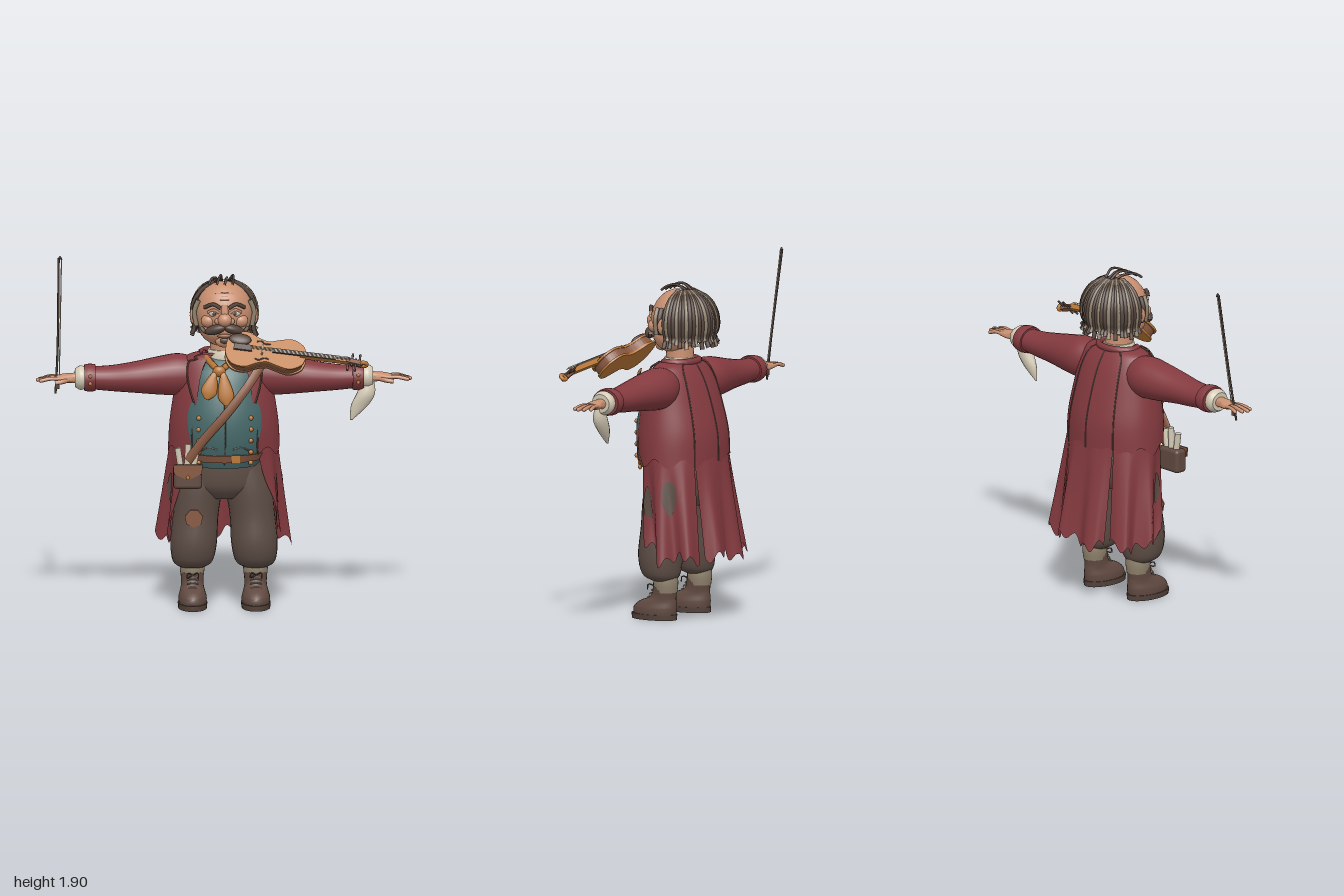
import * as THREE from 'three';
import { toCreasedNormals } from 'three/addons/utils/BufferGeometryUtils.js';
import { RoundedBoxGeometry } from 'three/addons/geometries/RoundedBoxGeometry.js';

const M = {};
for (const [name, color, twoSided] of [
  ['skin', 0xc88f70], ['coat', 0x843a3f, 1], ['trousers', 0x5c4c44, 1], ['waistcoat', 0x46696a, 1],
  ['amber', 0xb87636, 1], ['cream', 0xd3c9b4, 1], ['hair', 0x54433b], ['leather', 0x875740, 1],
  ['boot', 0x604940], ['taupe', 0x8f816c],
]) {
  M[name] = new THREE.MeshStandardMaterial({ color });
  M[name].name = name;
  if (twoSided) M[name].side = THREE.DoubleSide;
}
const PI = Math.PI, sin = Math.sin, cos = Math.cos;

// surface from a rule fn(u, v) -> [x, y, z]; optional caps close both ends
function grid(fn, nu, nv, cap = false) {
  const pos = [], idx = [], rows = [];
  for (let j = 0; j <= nv; j++) rows.push(Array.from({ length: nu + 1 }, (_, i) => fn(i / nu, j / nv)));
  const flat = (row) => {
    const c = [0, 1, 2].map((k) => row.slice(1).reduce((s, p) => s + p[k], 0) / nu);
    return row.map(() => c);
  };
  if (cap) { rows.unshift(flat(rows[0])); rows.push(flat(rows[rows.length - 1])); }
  rows.forEach((r) => r.forEach((p) => pos.push(...p)));
  const w = nu + 1;
  for (let j = 0; j < rows.length - 1; j++) for (let i = 0; i < nu; i++) {
    const a = j * w + i;
    idx.push(a, a + 1, a + w + 1, a, a + w + 1, a + w);
  }
  const g = new THREE.BufferGeometry();
  g.setAttribute('position', new THREE.Float32BufferAttribute(pos, 3));
  g.setIndex(idx);
  return toCreasedNormals(g, 0.9);
}
// rings [y, centreX, radiusX, zFront, zBack], bottom to top, smoothly blended
function section(rings) {
  return (th, v) => {
    const f = v * (rings.length - 1), i = Math.min(Math.floor(f), rings.length - 2), t = f - i;
    const at = (k) => rings[Math.max(0, Math.min(rings.length - 1, k))];
    const [y, cx, rx, zf, zb] = rings[0].map((_, c) => {
      const [a, b, d, e] = [at(i - 1)[c], at(i)[c], at(i + 1)[c], at(i + 2)[c]];
      return b + 0.5 * t * (d - a + t * (2 * a - 5 * b + 4 * d - e + t * (3 * (b - d) + e - a)));
    });
    return [cx + rx * sin(th), y, (zf + zb) / 2 + (zf - zb) / 2 * cos(th)];
  };
}
const loft = (rings, n = 24) => {
  const s = section(rings);
  return grid((u, v) => s(u * 2 * PI, v), n, (rings.length - 1) * 4, true);
};

export function createModel() {
  const root = new THREE.Group();
  root.name = 'fiddler';
  const add = (name, geo, mat, p = [0, 0, 0], r = [0, 0, 0], parent = root) => {
    const m = new THREE.Mesh(geo, M[mat]);
    m.name = name; m.position.set(...p); m.rotation.set(...r); parent.add(m);
    return m;
  };
  const ball = (name, mat, p, s, r, parent) => add(name, new THREE.SphereGeometry(1, 20, 14).scale(...s), mat, p, r, parent);
  const box = (name, mat, p, s, r, parent) => add(name, new THREE.BoxGeometry(...s), mat, p, r, parent);
  const tube = (name, mat, pts, rad, parent, n = 14) => add(name, new THREE.TubeGeometry(
    new THREE.CatmullRomCurve3(pts.map((q) => new THREE.Vector3(...q))), n, rad, 6), mat, undefined, undefined, parent);

  // waistcoat
  add('waistcoat', loft([[0.78, 0, 0.19, 0.18, -0.15], [0.85, 0, 0.215, 0.205, -0.15], [0.95, 0, 0.235, 0.225, -0.15],
    [1.07, 0, 0.235, 0.22, -0.15], [1.2, 0, 0.21, 0.185, -0.13], [1.3, 0, 0.19, 0.14, -0.1], [1.375, 0, 0.11, 0.07, -0.07]], 32), 'waistcoat');
  tube('waistcoatSeam', 'trousers', [[0, 0.8, 0.19], [0, 0.95, 0.226], [0, 1.07, 0.221], [0, 1.2, 0.186]], 0.004);
  for (const s of [-1, 1]) {
    tube('pocketEdge', 'trousers', [[s * 0.04, 0.89, 0.212], [s * 0.085, 0.9, 0.2], [s * 0.13, 0.88, 0.178]], 0.005);
    for (let i = 0; i < 5; i++) ball('button', 'amber', [s * 0.14, 0.81 + i * 0.062, 0.165 + (i > 0) * 0.022], [0.013, 0.013, 0.01]);
  }

  // coat body, open at the front
  const coatRing = section([[0.86, 0, 0.3, 0.19, -0.245], [1.0, 0, 0.293, 0.2, -0.24], [1.15, 0, 0.272, 0.18, -0.205],
    [1.28, 0, 0.25, 0.14, -0.16], [1.36, 0, 0.21, 0.105, -0.115], [1.39, 0, 0.12, 0.075, -0.085]]);
  const open = (v) => 0.63 - 0.22 * v * v;
  const coat = (th, v, off = 0) => {
    const [x, y, z] = coatRing(th, v);
    return [x + off * sin(th), y + 0.025 * sin(th * 9) * (1 - v) ** 6, z + off * cos(th)];
  };
  add('coatBody', grid((u, v) => coat(open(v) + u * 2 * (PI - open(v)), v), 64, 24), 'coat');
  for (const th of [PI - 0.62, PI, PI + 0.62])
    tube('backSeam', 'boot', [0, 0.2, 0.4, 0.6, 0.8, 0.95].map((v) => coat(th, v, 0)), 0.004);
  tube('coatCollar', 'coat', [1, 1.6, 2.3, PI, 4, 4.7, 5.28].map((a) => [0.12 * sin(a), 1.385, -0.005 + 0.085 * cos(a)]), 0.02);

  // coat skirt: three ragged, pleated panels
  const skirt = (th, t, off = 0) => {
    const f = Math.min(th, 2 * PI - th);
    const hem = 0.35 + 0.12 * Math.max(0, 1.5 - f) + 0.022 * sin(th * 23) + 0.02 * sin(th * 7);
    const k = 1 - 0.1 * t * cos(10 * (th - PI));
    const zr = 0.203 + 0.02 * t, zc = -0.033 - 0.062 * t;
    return [((0.285 + 0.05 * t) * k + off) * sin(th), 0.92 - t * (0.92 - hem), zc + (zr * k + off) * cos(th)];
  };
  const gap = (t) => 0.06 * t;
  const panel = (name, a, b) => add(name, grid((u, v) => {
    const t = 1 - v, p = a(t), q = b(t);
    return skirt(p + u * (q - p), t);
  }, 48, 16), 'coat');
  panel('leftSkirtPanel', (t) => 0.62 + 0.4 * t, (t) => 2.5 - gap(t));
  panel('backSkirtPanel', (t) => 2.5 + gap(t), (t) => 2 * PI - 2.5 - gap(t));
  panel('rightSkirtPanel', (t) => 2 * PI - 2.5 + gap(t), (t) => 2 * PI - 0.62 - 0.4 * t);
  // worn cloth patches following the skirt
  for (const [th, t, w, h] of [[1.85, 0.42, 0.18, 0.16], [1.15, 0.55, 0.13, 0.17], [5.05, 0.5, 0.14, 0.15]])
    add('skirtPatch', grid((u, v) => skirt(th + w * v * sin(u * 2 * PI), t - h * v * cos(u * 2 * PI), 0.007), 14, 4), 'trousers');

  for (const s of [-1, 1]) {
    // lapel with dark piping
    const side = (a) => (s > 0 ? a : 2 * PI - a);
    const width = (w) => 0.06 + 0.42 * Math.sin(Math.min(1, w * 1.25) * PI / 2) - (w > 0.72 && w < 0.8 ? 0.2 : 0);
    const lapel = (k, w) => { const v = 0.38 + 0.56 * w; return coat(side(open(v) - 0.05 + k * width(w)), v, 0.014); };
    add('lapel', grid((u, w) => lapel(u, w), 8, 24), 'coat');
    tube('lapelPiping', 'boot', [0, 0.15, 0.3, 0.5, 0.68, 0.76, 0.84, 1].map((w) => lapel(1, w)), 0.005, root, 30);
    tube('coatEdge', 'boot', [0.02, 0.2, 0.4, 0.6, 0.8].map((v) => coat(side(open(v)), v, 0.003)), 0.005);

    // sleeve, cuff and shirt frill, lofted along the arm
    const arm = (name, mat, rings) => add(name, loft(rings.map(([l, y, ry, z, rz]) => [l, -s * (y - 1.25), ry, z + rz, z - rz]))
      .rotateZ(-s * PI / 2), mat, [0, 1.25, 0]);
    if (s) arm('sleeve', 'coat', [[0.17, 1.262, 0.1, -0.01, 0.1], [0.25, 1.262, 0.113, -0.015, 0.115], [0.35, 1.257, 0.103, -0.01, 0.11],
      [0.48, 1.25, 0.084, 0, 0.095], [0.6, 1.245, 0.07, 0, 0.08], [0.7, 1.247, 0.062, 0, 0.072]]);
    arm('cuff', 'coat', [[0.69, 1.248, 0.071, 0, 0.082], [0.72, 1.248, 0.075, 0, 0.086], [0.75, 1.248, 0.07, 0, 0.081]]);
    arm('shirtFrill', 'cream', [[0.74, 1.248, 0.055, 0, 0.06], [0.77, 1.248, 0.066, 0, 0.068], [0.8, 1.248, 0.05, 0, 0.055]]);
    arm('hand', 'skin', [[0.78, 1.247, 0.03, 0, 0.035], [0.82, 1.247, 0.026, 0, 0.035], [0.86, 1.246, 0.024, 0, 0.044], [0.9, 1.245, 0.016, 0, 0.042]]);
    for (const z of [0.02, -0.02]) ball('cuffButton', 'amber', [s * 0.72, 1.25 + z, 0.085], [0.01, 0.01, 0.006]);
    for (let i = 0; i < 4; i++) {
      const z = 0.033 - i * 0.022, end = [0.985, 1, 0.99, 0.965][i];
      tube('finger', 'skin', [[s * 0.88, 1.247, z], [s * 0.93, 1.25, z * 1.2], [s * end, 1.24, z * 1.35]], 0.0105);
      ball('fingertip', 'skin', [s * end, 1.24, z * 1.35], [0.0105, 0.0105, 0.0105]);
    }
    tube('thumb', 'skin', [[s * 0.83, 1.24, 0.02], [s * 0.87, 1.235, 0.052], [s * 0.91, 1.23, 0.058]], 0.013);

    // trouser leg, stocking and boot
    add('trouserLeg', loft([[0.215, s * 0.17, 0.07, 0.06, -0.07], [0.25, s * 0.168, 0.108, 0.115, -0.09], [0.35, s * 0.163, 0.125, 0.14, -0.1],
      [0.5, s * 0.152, 0.122, 0.13, -0.105], [0.65, s * 0.132, 0.125, 0.13, -0.115], [0.78, s * 0.105, 0.105, 0.12, -0.11]]), 'trousers');
    add('stocking', loft([[0.15, s * 0.17, 0.06, 0.045, -0.08], [0.2, s * 0.17, 0.066, 0.05, -0.085], [0.25, s * 0.17, 0.062, 0.045, -0.08]]), 'taupe');
    const b = s * 0.17;
    add('boot', loft([[0.025, b, 0.075, 0.18, -0.075], [0.06, b, 0.076, 0.178, -0.08], [0.095, b, 0.066, 0.14, -0.078],
      [0.125, b, 0.06, 0.07, -0.075], [0.185, b, 0.063, 0.052, -0.082]]), 'boot');
    add('sole', loft([[0, b, 0.077, 0.19, -0.08], [0.03, b, 0.08, 0.192, -0.082]]), 'hair');
    for (let i = 0; i < 4; i++) tube('lace', 'taupe', [[b - 0.03, 0.11 + i * 0.02, 0.082 - i * 0.013],
      [b, 0.117 + i * 0.02, 0.09 - i * 0.012], [b + 0.03, 0.11 + i * 0.02, 0.082 - i * 0.013]], 0.004);
    tube('laceLoop', 'hair', [[b, 0.175, 0.055], [b - 0.025, 0.19, 0.075], [b - 0.03, 0.165, 0.08], [b, 0.175, 0.055],
      [b + 0.03, 0.19, 0.075], [b + 0.03, 0.16, 0.08]], 0.004);
  }
  add('trouserSeat', loft([[0.6, 0, 0.13, 0.1, -0.1], [0.66, 0, 0.215, 0.14, -0.125], [0.74, 0, 0.22, 0.15, -0.13], [0.83, 0, 0.2, 0.15, -0.13]]), 'trousers');
  add('kneePatch', new THREE.CylinderGeometry(0.05, 0.05, 0.008, 7), 'leather', [-0.165, 0.5, 0.133], [PI / 2, 0, 0]);

  // belt, shoulder strap and satchel
  add('belt', loft([[0.815, 0, 0.21, 0.205, -0.15], [0.855, 0, 0.225, 0.217, -0.15]]), 'leather');
  box('buckle', 'amber', [0.06, 0.836, 0.208], [0.05, 0.045, 0.012]);
  const strap = new THREE.CatmullRomCurve3([[0.2, 1.34, 0.13], [0.12, 1.23, 0.2], [0, 1.08, 0.235], [-0.12, 0.94, 0.225], [-0.2, 0.83, 0.215]]
    .map((p) => new THREE.Vector3(...p)));
  add('shoulderStrap', grid((u, v) => {
    const p = strap.getPoint(v), a = u * 2 * PI;
    return [p.x + 0.018 * cos(a), p.y - 0.016 * cos(a), p.z - 0.009 * sin(a)];
  }, 10, 24, true), 'leather');
  add('satchel', new RoundedBoxGeometry(0.155, 0.13, 0.075, 3, 0.02), 'boot', [-0.2, 0.745, 0.205]);
  const flap = new THREE.Shape([[-0.08, 0.04], [0.08, 0.04], [0.075, -0.01], [0, -0.045], [-0.075, -0.01]].map((p) => new THREE.Vector2(...p)));
  add('satchelFlap', new THREE.ExtrudeGeometry(flap, { depth: 0.008, bevelEnabled: false }), 'leather', [-0.2, 0.775, 0.24]);
  ball('satchelStud', 'amber', [-0.2, 0.745, 0.25], [0.01, 0.01, 0.006]);
  [[-0.245, 0.84, 0.15], [-0.2, 0.86, -0.05], [-0.16, 0.845, -0.2]].forEach(([x, y, r]) =>
    add('paperRoll', new THREE.CylinderGeometry(0.017, 0.017, 0.12, 10), 'cream', [x, y, 0.2], [0, 0, r]));

  // neck, shirt collar and neckerchief
  add('neck', new THREE.CylinderGeometry(0.072, 0.078, 0.16, 24), 'skin', [0, 1.42, 0]);
  add('shirtCollar', loft([[1.34, 0, 0.1, 0.09, -0.085], [1.37, 0, 0.1, 0.09, -0.085], [1.405, 0, 0.083, 0.082, -0.08]]), 'cream');
  ball('kerchiefKnot', 'amber', [-0.03, 1.31, 0.165], [0.035, 0.03, 0.025]);
  tube('kerchiefBand', 'amber', [[-0.1, 1.37, 0.07], [-0.07, 1.345, 0.12], [-0.03, 1.315, 0.15], [0.03, 1.345, 0.12], [0.09, 1.37, 0.07]], 0.018);
  for (const [x, r, l] of [[-0.055, -0.3, 0.15], [-0.01, 0.12, 0.18]]) add('kerchiefTail', loft(
    [[-l, 0, 0.012, 0.01, 0], [-l * 0.75, 0, 0.042, 0.018, -0.01], [-l * 0.4, 0, 0.034, 0.018, -0.01], [0, 0, 0.012, 0.01, -0.01]], 12),
  'amber', [x, 1.305, 0.175], [-0.22, 0, r]);

  // head and face
  ball('skull', 'skin', [0, 1.605, 0.01], [0.155, 0.168, 0.145]);
  ball('jaw', 'skin', [0, 1.525, 0.025], [0.135, 0.1, 0.12]);
  ball('chin', 'skin', [0, 1.465, 0.11], [0.05, 0.035, 0.035]);
  ball('nose', 'skin', [0, 1.59, 0.168], [0.038, 0.036, 0.036]);
  tube('noseBridge', 'skin', [[0, 1.66, 0.135], [0, 1.63, 0.155], [0, 1.59, 0.17]], 0.02);
  ball('mouth', 'leather', [0, 1.497, 0.14], [0.04, 0.012, 0.014]);
  ball('chinTuft', 'hair', [0, 1.472, 0.142], [0.026, 0.016, 0.012]);
  for (let i = 0; i < 3; i++) tube('foreheadCrease', 'leather', [[-0.05, 1.69 + i * 0.016, 0.118 - i * 0.01],
    [0, 1.694 + i * 0.016, 0.132 - i * 0.012], [0.05, 1.69 + i * 0.016, 0.118 - i * 0.01]], 0.003);
  for (const s of [-1, 1]) {
    ball('eye', 'cream', [s * 0.058, 1.622, 0.132], [0.027, 0.02, 0.018]);
    ball('pupil', 'hair', [s * 0.056, 1.621, 0.147], [0.009, 0.01, 0.006]);
    tube('eyelid', 'skin', [[s * 0.028, 1.625, 0.146], [s * 0.058, 1.642, 0.147], [s * 0.09, 1.625, 0.128]], 0.008);
    tube('eyebrow', 'hair', [[s * 0.022, 1.652, 0.152], [s * 0.06, 1.672, 0.146], [s * 0.108, 1.65, 0.115]], 0.011);
    ball('cheek', 'skin', [s * 0.085, 1.575, 0.105], [0.042, 0.036, 0.038]);
    ball('nostril', 'skin', [s * 0.034, 1.58, 0.152], [0.02, 0.018, 0.02]);
    ball('moustache', 'hair', [s * 0.05, 1.535, 0.15], [0.062, 0.026, 0.034], [0, s * 0.35, -s * 0.3]);
    tube('moustacheTip', 'hair', [[s * 0.07, 1.528, 0.145], [s * 0.105, 1.52, 0.125], [s * 0.125, 1.54, 0.11]], 0.012);
    ball('ear', 'skin', [s * 0.163, 1.585, 0.005], [0.02, 0.045, 0.03], [0, s * 0.3, 0]);
    for (const z of [0.03, 0.055]) tube('sideburn', z < 0.04 ? 'hair' : 'taupe', [[s * 0.138, 1.68, z], [s * 0.16, 1.62, z], [s * 0.15, 1.54, z]], 0.014);
  }

  // hair: a cap at the back with streaked strands and loose wisps
  add('hairCap', new THREE.SphereGeometry(1, 32, 16, PI - 0.08, PI + 0.16, 0, 1.85).scale(0.172, 0.178, 0.18), 'hair', [0, 1.595, -0.025]);
  for (let i = 0; i < 33; i++) {
    const a = -1.68 + i * 0.105, k = 1 + 0.03 * sin(i * 5.3);
    const p = (th, r) => [0.174 * r * sin(th) * sin(a), 1.595 + 0.18 * r * cos(th), -0.025 - 0.18 * r * sin(th) * cos(a)];
    const tip = p(2.05, 1.13 * k); tip[1] = 1.485 + 0.02 * sin(i * 3.7);
    tube('hairStrand', i % 3 === 1 ? 'taupe' : 'hair', [p(0.3, 1), p(0.8, k), p(1.3, k), p(1.75, k), p(2.0, 1), tip], 0.0125);
  }
  for (let i = 0; i < 4; i++) {
    const x = -0.05 + i * 0.033;
    tube('looseWisp', 'hair', [[x * 0.6, 1.765, -0.07], [x, 1.79 + (i % 2) * 0.012, -0.01], [x * 1.2 - 0.01, 1.79, 0.05], [x * 1.3 - 0.02, 1.765, 0.09]], 0.007);
  }

  // violin: length along local x, strings towards local z
  const violin = new THREE.Group(); violin.name = 'violin';
  const X = new THREE.Vector3(0.74, -0.085, 0.045).normalize(), Y = new THREE.Vector3(0, 0.7, 0.7).cross(X).normalize();
  violin.setRotationFromMatrix(new THREE.Matrix4().makeBasis(X, Y, X.clone().cross(Y)));
  violin.position.set(0.005, 1.435, 0.21);
  root.add(violin);
  const half = [[0, 0.04], [0.04, 0.1], [0.11, 0.112], [0.17, 0.082], [0.225, 0.066], [0.28, 0.082], [0.35, 0.096], [0.41, 0.065], [0.43, 0.02]];
  const outline = (k) => {
    const pts = half.concat(half.map(([x, y]) => [x, -y]).reverse()).map(([x, y]) => new THREE.Vector2(0.215 + (x - 0.215) * k, y * k));
    return new THREE.Shape(new THREE.SplineCurve([...pts, pts[0]]).getPoints(72));
  };
  const slab = (name, mat, k, z, depth) => add(name, new THREE.ExtrudeGeometry(outline(k), { depth, bevelEnabled: false }), mat, [0, 0, z], undefined, violin);
  slab('violinRibs', 'leather', 0.95, -0.025, 0.05);
  slab('violinBack', 'amber', 1, -0.032, 0.012);
  slab('violinTop', 'amber', 1, 0.02, 0.012);
  box('fingerboard', 'hair', [0.42, 0, 0.05], [0.34, 0.026, 0.01], undefined, violin);
  box('violinNeck', 'amber', [0.53, 0, 0.032], [0.26, 0.026, 0.028], undefined, violin);
  box('pegBox', 'leather', [0.69, 0, 0.025], [0.09, 0.026, 0.03], [0, 0.2, 0], violin);
  add('scroll', new THREE.TorusGeometry(0.016, 0.011, 8, 16), 'amber', [0.745, 0, 0.02], [PI / 2, 0, 0], violin);
  box('tailpiece', 'hair', [0.09, 0, 0.045], [0.1, 0.035, 0.012], undefined, violin);
  box('bridge', 'cream', [0.195, 0, 0.043], [0.008, 0.055, 0.03], undefined, violin);
  ball('chinRest', 'hair', [0.07, 0.05, 0.045], [0.06, 0.035, 0.016], undefined, violin);
  for (let i = 0; i < 4; i++) {
    box('string', 'cream', [0.4, -0.009 + i * 0.006, 0.058], [0.54, 0.002, 0.002], undefined, violin);
    add('peg', new THREE.CylinderGeometry(0.006, 0.006, 0.08, 8), 'hair', [0.66 + i * 0.02, i % 2 ? 0.015 : -0.015, 0.025], undefined, violin);
  }
  for (const s of [-1, 1]) tube('soundHole', 'hair', [[0.16, s * 0.055, 0.033], [0.18, s * 0.062, 0.033], [0.21, s * 0.045, 0.033], [0.235, s * 0.05, 0.033]], 0.004, violin);

  // bow in the right hand, handkerchief in the left cuff
  tube('bowStick', 'hair', [[-0.905, 1.165, 0.02], [-0.893, 1.4, -0.015], [-0.885, 1.885, -0.09]], 0.006);
  tube('bowHair', 'cream', [[-0.885, 1.22, 0.01], [-0.87, 1.88, -0.088]], 0.003);
  tube('bowTip', 'hair', [[-0.885, 1.88, -0.089], [-0.878, 1.892, -0.09], [-0.869, 1.875, -0.088]], 0.005);
  box('bowFrog', 'hair', [-0.895, 1.215, 0.012], [0.025, 0.05, 0.014]);
  add('handkerchief', loft([[1.015, 0.682, 0.005, 0.035, 0.025], [1.09, 0.725, 0.045, 0.05, 0], [1.16, 0.762, 0.05, 0.06, -0.01],
    [1.235, 0.775, 0.03, 0.04, 0]], 14), 'cream');
  return root;
}
